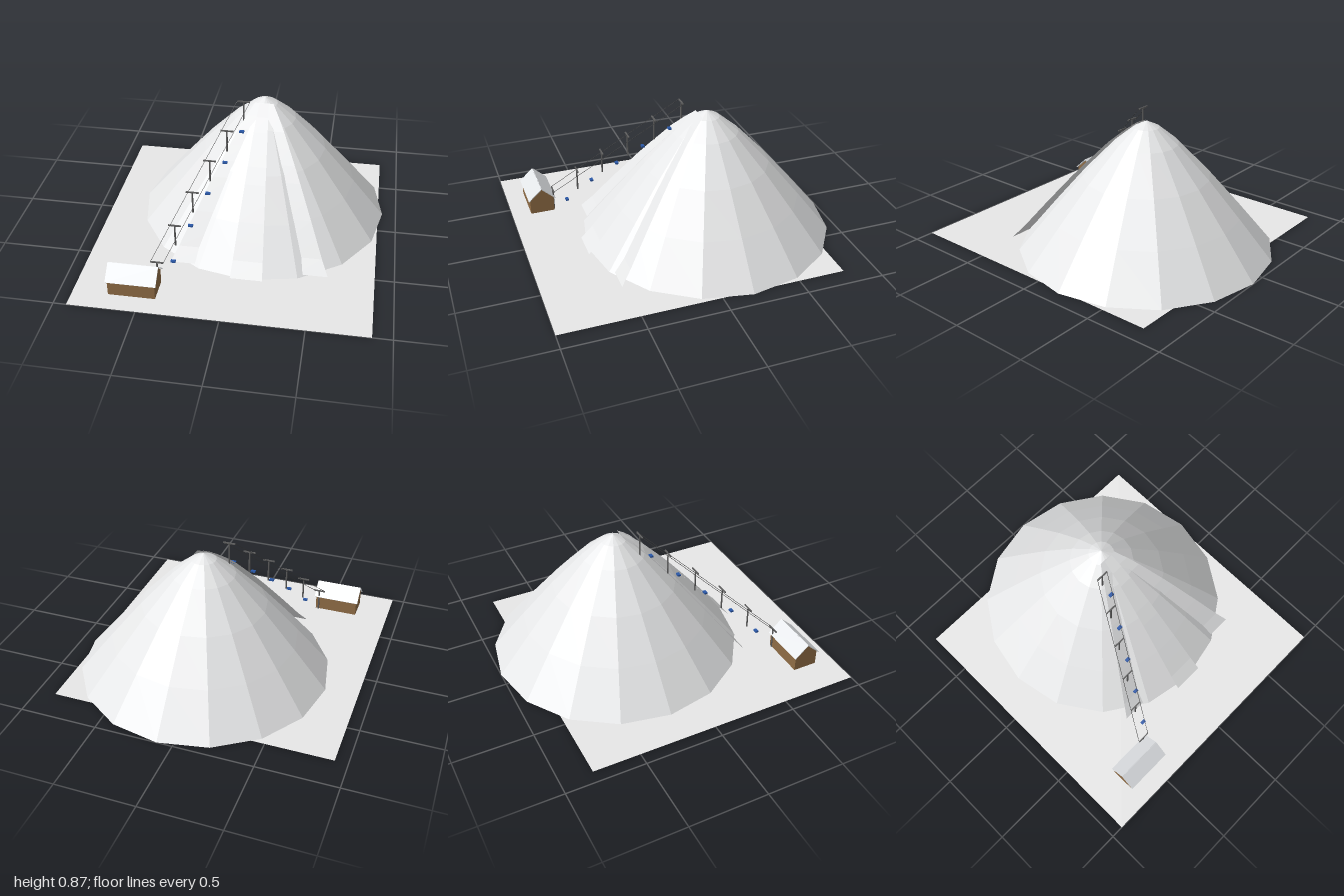
import * as THREE from 'three';

const mat = (name, color, extra = {}) => {
  const m = new THREE.MeshStandardMaterial({ color, flatShading: true, ...extra });
  m.name = name;
  return m;
};

export function createModel() {
  const root = new THREE.Group();
  root.name = 'skiMountain';
  const both = { side: THREE.DoubleSide };
  const snow = mat('snow', 0xf4f5f6, both);
  const groundSnow = mat('groundSnow', 0xf2f2f2, both);
  const roofSnow = mat('roofSnow', 0xf2f5f8, both);
  const wood = mat('wood', 0x8f6c45);
  const steel = mat('steel', 0x606060);
  const cableMat = mat('cable', 0x404040);
  const blue = mat('chairBlue', 0x2a58a8);

  const add = (name, geometry, material, x = 0, y = 0, z = 0, parent = root) => {
    const mesh = new THREE.Mesh(geometry, material);
    mesh.name = name;
    mesh.position.set(x, y, z);
    parent.add(mesh);
    return mesh;
  };

  // Ground sheet
  add('ground', new THREE.PlaneGeometry(1.8, 1.8).rotateX(-Math.PI / 2), groundSnow, -0.02, 0, 0.1);

  // Sixteen-sided mountain
  const cx = 0.1, cz = -0.19;
  const profile = [[0.81, 0], [0.6, 0.255], [0.4, 0.49], [0.2, 0.7], [0.08, 0.8], [0, 0.84]];
  add('mountain', new THREE.LatheGeometry(profile.map(p => new THREE.Vector2(...p)), 16), snow, cx, 0, cz);

  const slopeHeight = r => {
    for (let i = 1; i < profile.length; i++) {
      const [r0, y0] = profile[i - 1], [r1, y1] = profile[i];
      if (r >= r1) return Math.max(0, y0 + (y1 - y0) * (r - r0) / (r1 - r0));
    }
    return 0.84;
  };

  // Ski runs draped down the front, widening towards the foot
  const run = angle => {
    const pos = [], index = [], steps = 10;
    for (let i = 0; i <= steps; i++) {
      const t = i / steps, r = 0.06 + 0.76 * t, half = 0.03 + 0.07 * t;
      const x = cx + Math.sin(angle) * r, z = cz + Math.cos(angle) * r, y = slopeHeight(r) + 0.01;
      pos.push(x - half, y, z, x + half, y, z);
      if (i < steps) {
        const a = i * 2;
        index.push(a, a + 2, a + 1, a + 1, a + 2, a + 3);
      }
    }
    const g = new THREE.BufferGeometry();
    g.setAttribute('position', new THREE.Float32BufferAttribute(pos, 3));
    g.setIndex(index);
    g.computeVertexNormals();
    return g;
  };
  [['rightRun', -0.5], ['centreRun', 0], ['leftRun', 0.5]].forEach(([n, a]) => add(n, run(a), snow));

  // Lift towers, from the top station down
  const lift = new THREE.Group();
  lift.name = 'chairLift';
  root.add(lift);
  [0.715, 0.585, 0.455, 0.317, 0.17, 0].forEach((base, i) => {
    const x = -0.02 - 0.082 * i, z = -0.062 + 0.155 * i;
    add('towerPost', new THREE.CylinderGeometry(0.005, 0.006, 0.15, 6), steel, x, base + 0.075, z, lift);
    add('towerBar', new THREE.BoxGeometry(0.08, 0.008, 0.008), steel, x, base + 0.148, z, lift);
  });

  // Hanging chairs between towers
  [0.69, 0.55, 0.413, 0.27, 0.104].forEach((y, i) =>
    add('chair', new THREE.BoxGeometry(0.03, 0.011, 0.02), blue, -0.021 - 0.082 * i, y, 0.015 + 0.155 * i, lift));

  // Two straight cables
  for (const s of [-0.04, 0.04]) {
    const path = new THREE.LineCurve3(
      new THREE.Vector3(-0.02 + s, 0.865, -0.062), new THREE.Vector3(-0.43 + s, 0.15, 0.713));
    add('cable', new THREE.TubeGeometry(path, 1, 0.0015, 5), cableMat, 0, 0, 0, lift);
  }

  // Lodge with gabled wooden walls
  const lodge = new THREE.Group();
  lodge.name = 'lodge';
  lodge.position.set(-0.555, 0, 0.795);
  root.add(lodge);
  const gable = new THREE.Shape([[-0.08, 0], [0.08, 0], [0.08, 0.1], [0, 0.172], [-0.08, 0.1]]
    .map(p => new THREE.Vector2(...p)));
  const walls = new THREE.ExtrudeGeometry(gable, { depth: 0.29, bevelEnabled: false });
  add('lodgeWalls', walls.translate(0, 0, -0.145).rotateY(Math.PI / 2), wood, 0, 0, 0, lodge);

  // Two snowy roof slabs
  for (const s of [-1, 1]) {
    const slab = add('roofSlab', new THREE.BoxGeometry(0.31, 0.005, Math.hypot(0.09, 0.083)), roofSnow,
      0, 0.139, s * 0.045, lodge);
    slab.rotation.x = s * Math.atan2(0.083, 0.09);
  }

  // Small timber cones under the mountain shell
  [[0.1, -0.74, 0.15], [0.5, -0.74, 0.08], [-0.17, -0.74, 0.1], [0.82, -0.27, 0.05]].forEach(([x, z, h]) =>
    add('timberCone', new THREE.ConeGeometry(0.03, h, 6), wood, x, h / 2, z));

  return root;
}
